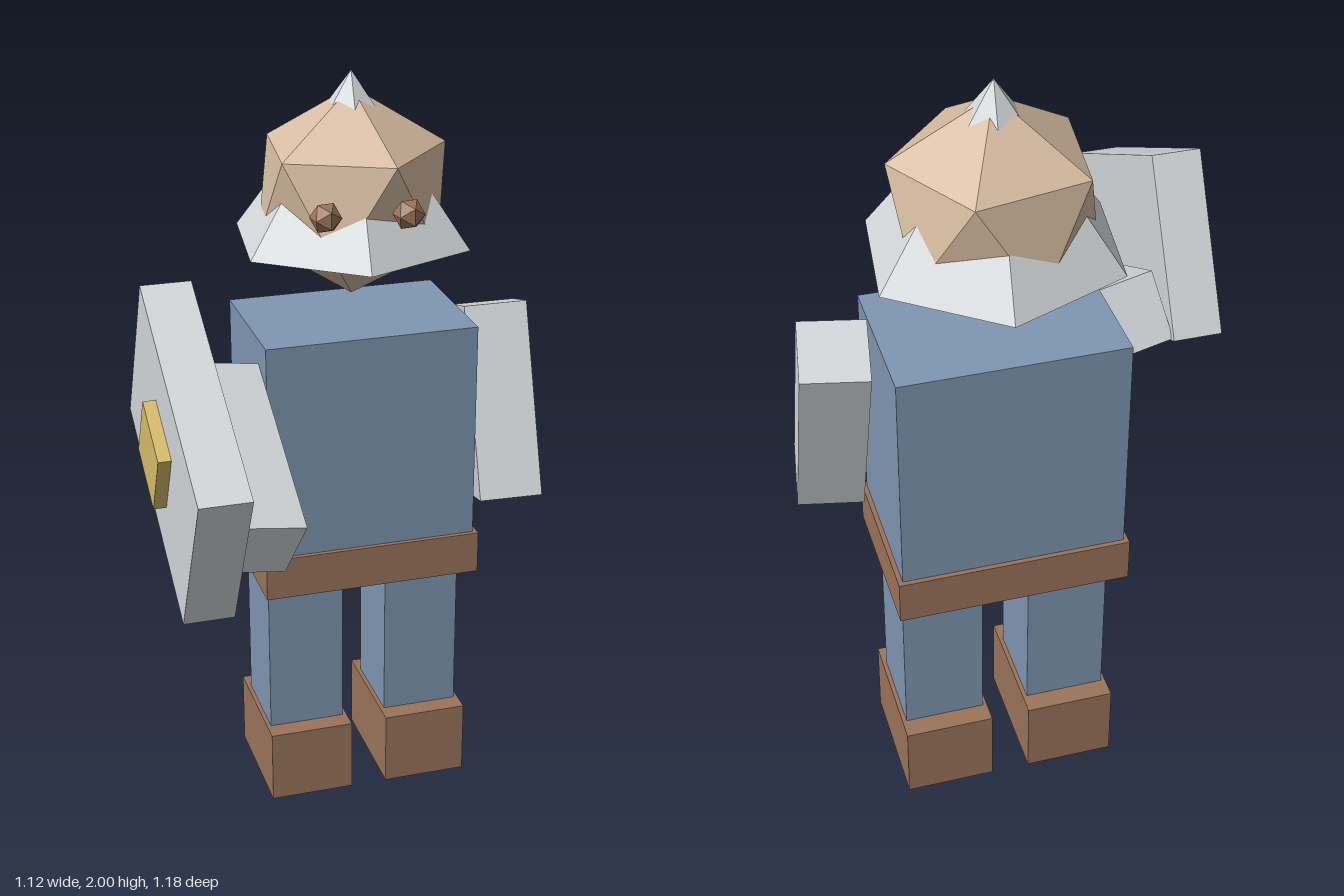
import * as THREE from 'three';

const mat = (name, color) => {
  const m = new THREE.MeshStandardMaterial({ color, flatShading: true });
  m.name = name;
  return m;
};

export function createModel() {
  const blue = mat('blue cloth', 0x7f96b2);
  const brown = mat('brown leather', 0x9b745b);
  const steel = mat('pale steel', 0xd4d8db);
  const skin = mat('skin', 0xd8bda2);
  const gold = mat('gold', 0xd8bc6a);

  const model = new THREE.Group();
  model.name = 'blockKnight';
  const CX = 0.076, CZ = -0.264; // body axis

  const add = (name, geometry, material, x, y, z) => {
    const mesh = new THREE.Mesh(geometry, material);
    mesh.name = name;
    mesh.position.set(x, y, z);
    model.add(mesh);
    return mesh;
  };
  const box = (name, material, w, h, d, x, y, z) =>
    add(name, new THREE.BoxGeometry(w, h, d), material, x, y, z);

  // Torso and belt
  box('torso', blue, 0.566, 0.59, 0.386, CX, 1.063, CZ);
  box('belt', brown, 0.59, 0.115, 0.412, CX, 0.712, CZ);

  // Legs and boots
  for (const [side, s] of [['left', 1], ['right', -1]]) {
    const x = CX + s * 0.165;
    box(side + 'Leg', blue, 0.208, 0.42, 0.228, x, 0.412, CZ);
    box(side + 'Boot', brown, 0.23, 0.205, 0.336, x, 0.1025, CZ);
  }

  // Arms: equal boxes turned by their sideways (ax) and upward (ay) directions
  const arm = (name, ax, ay, x, y, z) => {
    const Y = new THREE.Vector3(...ay).normalize();
    const Z = new THREE.Vector3(...ax).cross(Y).normalize();
    const X = new THREE.Vector3().crossVectors(Y, Z);
    const mesh = box(name, steel, 0.167, 0.52, 0.18, x, y, z);
    mesh.quaternion.setFromRotationMatrix(new THREE.Matrix4().makeBasis(X, Y, Z));
  };
  arm('leftArm', [0.165, 0.01, 0.025], [0, 0.493, -0.164], 0.461, 1.101, -0.184);
  arm('rightArm', [0.164, -0.027, -0.017], [0, 0.248, -0.455], -0.31, 1.11, 0.06);

  // Shield on the right arm, with a raised boss
  box('shield', steel, 0.126, 0.463, 0.668, -0.467, 1.221, 0.181).rotation.x = 0.497;
  box('shieldBoss', gold, 0.032, 0.182, 0.185, -0.546, 1.222, 0.178).rotation.x = 0.497;

  // Head: icosahedron standing on one corner
  const head = new THREE.IcosahedronGeometry(0.272, 0);
  head.rotateZ(Math.atan(2 / (1 + Math.sqrt(5))));
  head.rotateY(THREE.MathUtils.degToRad(29));
  add('head', head, skin, CX, 1.687, -0.268);

  // Six-sided helmet, pierced by the corners of the head
  const helmet = new THREE.ConeGeometry(0.323, 0.434, 6);
  helmet.rotateY(THREE.MathUtils.degToRad(-7.5));
  add('helmet', helmet, steel, CX, 1.783, -0.27);

  // Eyes
  for (const [name, x, z] of [['rightEye', -0.06, -0.031], ['leftEye', 0.144, -0.003]]) {
    const eye = add(name, new THREE.IcosahedronGeometry(0.041, 0), brown, x, 1.7, z);
    eye.rotation.y = 0.15;
  }

  return model;
}
